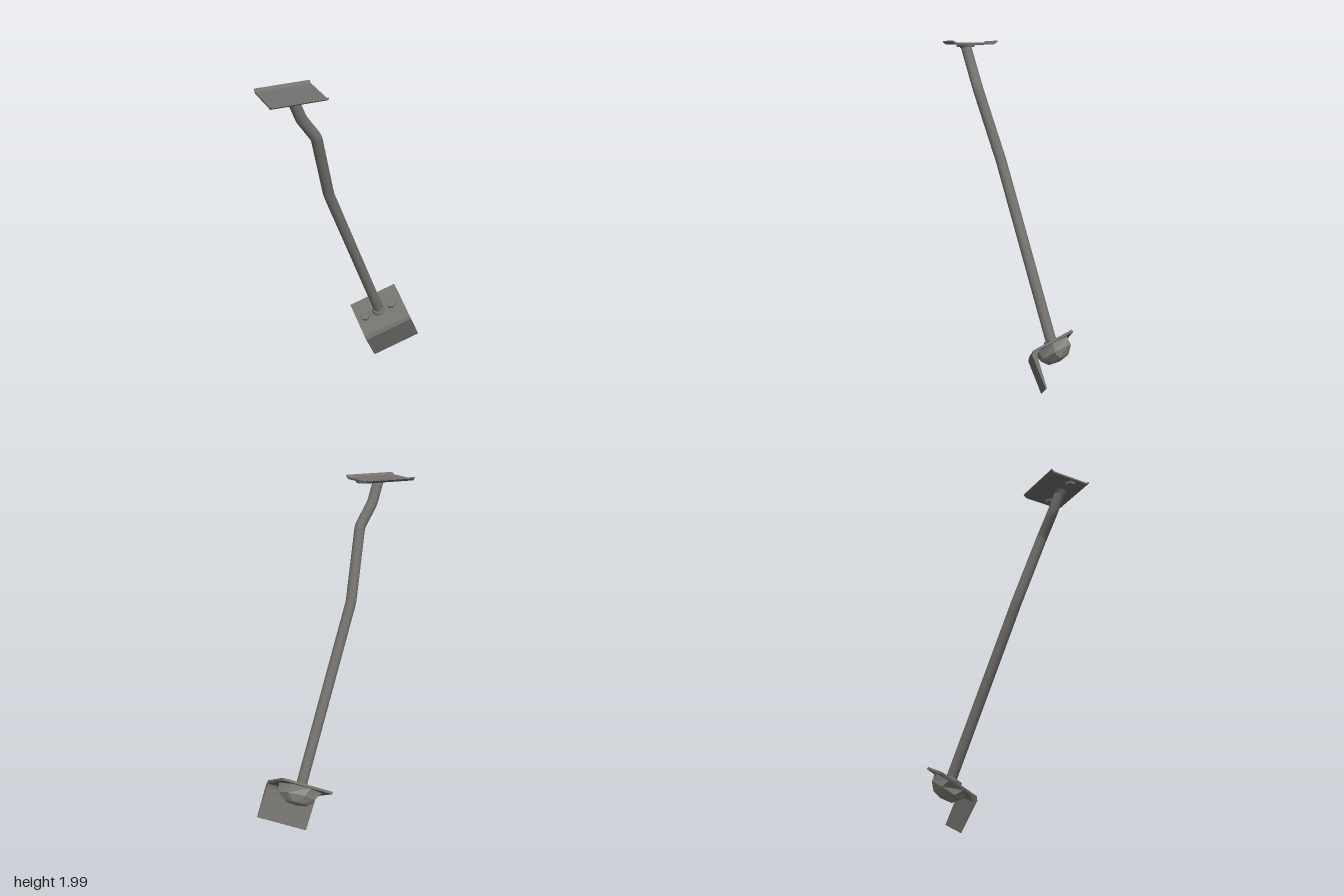
import * as THREE from 'three';

const metal = new THREE.MeshStandardMaterial({ color: 0x757370 });
metal.name = 'dark steel';
const stone = new THREE.MeshStandardMaterial({ color: 0x8b8983 });
stone.name = 'grey stone';

function addMesh(parent, name, geometry, material = metal) {
  const mesh = new THREE.Mesh(geometry, material);
  mesh.name = name;
  parent.add(mesh);
  return mesh;
}

// Extrude a [z, y] profile along x, centred on x = 0
function extrudeAlongX(profile, width) {
  const shape = new THREE.Shape(profile.map(([z, y]) => new THREE.Vector2(z, y)));
  const g = new THREE.ExtrudeGeometry(shape, { depth: width, bevelEnabled: false });
  return g.translate(0, 0, -width / 2).rotateY(-Math.PI / 2);
}

// Flared collar with a hex bolt on either side, standing on y = 0
function fittings(spacing) {
  const group = new THREE.Group();
  group.name = 'fittings';
  addMesh(group, 'collar', new THREE.CylinderGeometry(0.031, 0.041, 0.02, 20)).position.y = 0.01;
  for (const side of [-1, 1]) {
    const hex = new THREE.CylinderGeometry(0.03, 0.033, 0.015, 6).toNonIndexed();
    hex.computeVertexNormals();
    addMesh(group, 'bolt', hex).position.set(side * spacing, 0.0075, 0);
  }
  return group;
}

// Straight runs joined by short rounded bends
function bentPath(points, bend) {
  const path = new THREE.CurvePath();
  let from = points[0];
  for (let i = 1; i < points.length - 1; i++) {
    const p = points[i];
    const a = p.clone().add(points[i - 1].clone().sub(p).setLength(bend));
    const b = p.clone().add(points[i + 1].clone().sub(p).setLength(bend));
    path.add(new THREE.LineCurve3(from, a));
    path.add(new THREE.QuadraticBezierCurve3(a, p, b));
    from = b;
  }
  path.add(new THREE.LineCurve3(from, points[points.length - 1]));
  return path;
}

// Faceted lump made of rings [radius, depth, twist] hanging below y = 0
function lump() {
  const rings = [[0.122, 0, 0], [0.106, 0.05, 0.2], [0.068, 0.09, 0]];
  const sides = 7, pos = [], index = [];
  rings.forEach(([r, d, twist], k) => {
    for (let i = 0; i < sides; i++) {
      const t = (i / sides) * Math.PI * 2 + twist;
      const rough = 1 + 0.05 * Math.sin(i * 2.3 + k * 1.7);
      pos.push(Math.cos(t) * r * rough * 1.06, -d, Math.sin(t) * r * rough * 0.92);
    }
  });
  pos.push(0, -0.102, 0);
  const tip = rings.length * sides;
  for (let k = 0; k < rings.length; k++) {
    for (let i = 0; i < sides; i++) {
      const a = k * sides + i, b = k * sides + (i + 1) % sides;
      if (k === rings.length - 1) index.push(a, b, tip);
      else index.push(a, b, b + sides, a, b + sides, a + sides);
    }
  }
  const g = new THREE.BufferGeometry();
  g.setAttribute('position', new THREE.Float32BufferAttribute(pos, 3));
  g.setIndex(index);
  const flat = g.toNonIndexed();
  flat.computeVertexNormals();
  return flat;
}

export function createModel() {
  const model = new THREE.Group();
  model.name = 'bracedStrut';

  // Bent tube
  const points = [
    [-0.373, 1.972, 0.182], [-0.322, 1.85, 0.158], [-0.232, 1.72, 0.14],
    [-0.12, 1.31, 0.03], [0.295, 0.31, -0.16],
  ].map((p) => new THREE.Vector3(...p));
  addMesh(model, 'tube', new THREE.TubeGeometry(bentPath(points, 0.02), 120, 0.031, 16));

  // Top plate with upturned edges
  const top = new THREE.Group();
  top.name = 'topMount';
  top.position.set(-0.3725, 0, 0.158);
  addMesh(top, 'topPlate', extrudeAlongX([
    [-0.133, 1.992], [-0.112, 1.978], [0.112, 1.978], [0.133, 1.992],
    [0.131, 2.0], [0.108, 1.988], [-0.108, 1.988], [-0.131, 2.0],
  ], 0.305));
  const topFittings = fittings(0.108);
  topFittings.rotation.x = Math.PI;
  topFittings.position.set(0, 1.978, 0.026);
  top.add(topFittings);
  model.add(top);

  // Tilted angle bracket: local x along the fold, y out of the upper flange
  const along = new THREE.Vector3(0.904, 0.388, 0.178).normalize();
  const up = new THREE.Vector3(-0.427, 0.82, 0.381);
  const out = new THREE.Vector3().crossVectors(along, up).normalize();
  up.crossVectors(out, along);
  const foot = new THREE.Group();
  foot.name = 'footMount';
  foot.quaternion.setFromRotationMatrix(new THREE.Matrix4().makeBasis(along, up, out));
  foot.position.set(0.294, 0.31, -0.146);
  addMesh(foot, 'angleBracket', extrudeAlongX([
    [-0.127, -0.014], [0.08, -0.014], [0.1, -0.022], [0.112, -0.04], [0.122, -0.085],
    [0.15, -0.216], [0.158, -0.216], [0.135, -0.02], [0.117, 0], [-0.127, 0],
  ], 0.31));
  const footFittings = fittings(0.09);
  footFittings.position.set(-0.006, 0, -0.008);
  foot.add(footFittings);

  // Faceted lump under the upper flange
  addMesh(foot, 'lump', lump(), stone).position.set(0, -0.012, -0.005);
  model.add(foot);
  return model;
}
